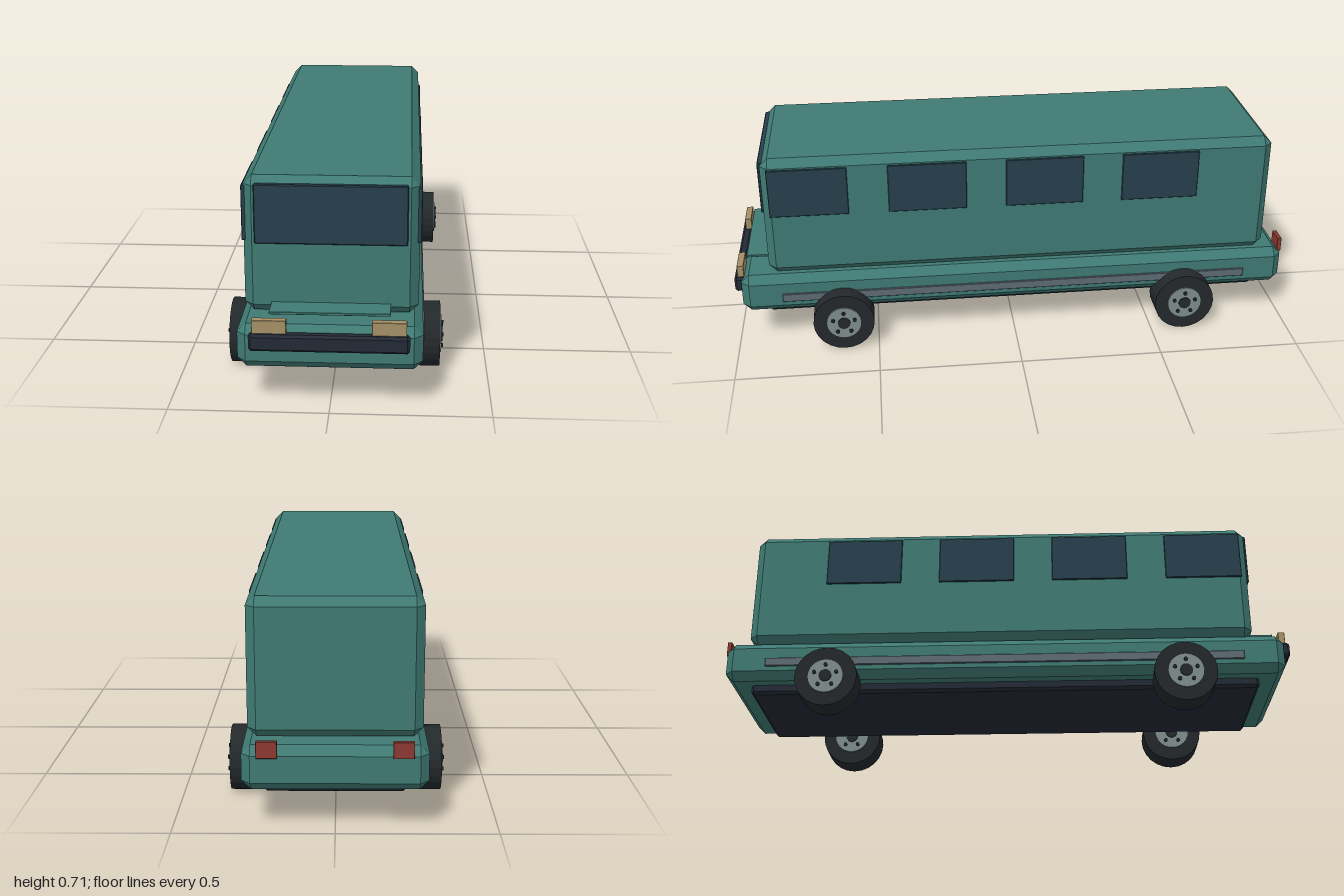
import * as THREE from 'three';
import { ConvexGeometry } from 'three/addons/geometries/ConvexGeometry.js';

const paint = (color) => new THREE.MeshStandardMaterial({ color, flatShading: true });

// Box between two corners with every edge chamfered by c
function chamferBox(min, max, c) {
  const pts = [];
  const mid = min.map((v, i) => (v + max[i]) / 2);
  const half = min.map((v, i) => (max[i] - v) / 2);
  for (const sx of [-1, 1]) for (const sy of [-1, 1]) for (const sz of [-1, 1]) {
    const s = [sx, sy, sz];
    for (let face = 0; face < 3; face++) {
      const p = s.map((v, i) => mid[i] + v * (half[i] - (i === face ? 0 : c)));
      pts.push(new THREE.Vector3(...p));
    }
  }
  return new ConvexGeometry(pts);
}

export function createModel() {
  const bus = new THREE.Group();
  bus.name = 'bus';
  const teal = paint(0x3f7a73), glass = paint(0x263f4c), dark = paint(0x232a35);
  const rubber = paint(0x23282b), steel = paint(0x7f8c8d), trim = paint(0x5d6a73);
  const amber = paint(0xa68f66), red = paint(0x8c3a33);

  function add(name, geometry, material, parent = bus) {
    const mesh = new THREE.Mesh(geometry, material);
    mesh.name = name;
    parent.add(mesh);
    return mesh;
  }
  const block = (name, min, max, c, material) => add(name, chamferBox(min, max, c), material);

  // Main volumes
  block('cabin', [-0.27, 0.275, -0.918], [0.27, 0.714, 0.873], 0.028, teal);
  block('lowerBody', [-0.285, 0.13, -0.99], [0.285, 0.272, 0.975], 0.028, teal);
  block('chassis', [-0.22, 0.097, -0.905], [0.22, 0.16, 0.888], 0.01, dark);

  // Front details
  block('windshield', [-0.234, 0.505, 0.86], [0.234, 0.693, 0.882], 0.003, glass);
  block('bumper', [-0.245, 0.2, 0.965], [0.245, 0.255, 1.0], 0.008, dark);
  block('hoodPanel', [-0.185, 0.305, 0.86], [0.185, 0.313, 0.955], 0.001, teal);

  // Mirrored side details
  for (const s of [-1, 1]) {
    const side = s > 0 ? 'left' : 'right';
    const span = (name, x0, x1, y0, y1, z0, z1, c, mat) =>
      block(side + name, [Math.min(s * x0, s * x1), y0, z0], [Math.max(s * x0, s * x1), y1, z1], c, mat);
    span('Headlight', 0.13, 0.235, 0.255, 0.298, 0.965, 0.988, 0.001, amber);
    span('TailLight', 0.174, 0.238, 0.24, 0.293, -1.0, -0.985, 0.001, red);
    span('SideTrim', 0.275, 0.291, 0.174, 0.205, -0.846, 0.832, 0.002, trim);
    for (let i = 0; i < 4; i++) {
      const z = 0.715 - i * 0.41;
      span('Window' + (i + 1), 0.255, 0.276, 0.505, 0.681, z - 0.136, z + 0.136, 0.002, glass);
    }
  }

  // Wheels: tyre, rim, hub cap and five bolts showing on both faces
  const disc = (r, w, sides) => new THREE.CylinderGeometry(r, r, w, sides).rotateZ(Math.PI / 2);
  const tyre = disc(0.108, 0.095, 24), rim = disc(0.062, 0.106, 24);
  const cap = disc(0.022, 0.114, 16), bolt = disc(0.007, 0.118, 8);
  for (const s of [-1, 1]) for (const z of [0.62, -0.617]) {
    const wheel = new THREE.Group();
    wheel.name = (z > 0 ? 'front' : 'rear') + (s > 0 ? 'Left' : 'Right') + 'Wheel';
    wheel.position.set(s * 0.296, 0.108, z);
    add('tyre', tyre, rubber, wheel);
    add('rim', rim, steel, wheel);
    add('hubCap', cap, rubber, wheel);
    for (let i = 0; i < 5; i++) {
      const a = (i / 5) * Math.PI * 2;
      add('bolt', bolt, rubber, wheel).position.set(0, Math.cos(a) * 0.04, Math.sin(a) * 0.04);
    }
    bus.add(wheel);
  }
  return bus;
}
